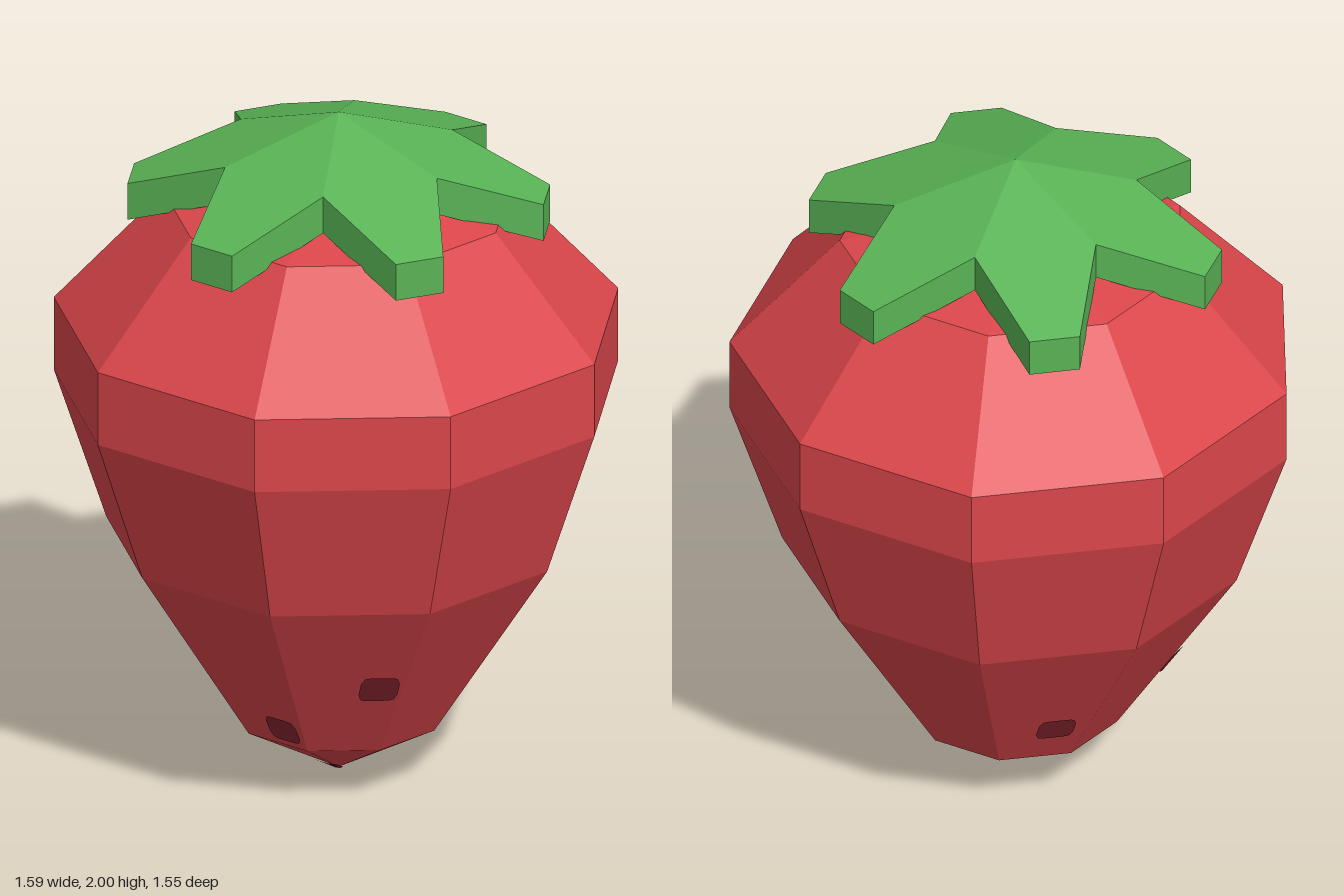
import * as THREE from 'three';

const CZ = 0.023;            // z of the fruit's axis
const SX = 1.012;            // the fruit is slightly wider than deep
const SIDES = 9;
const STEP = (Math.PI * 2) / SIDES;
// [radius, height] from tip to crown
const PROFILE = [[0, 0.005], [0.298, 0.175], [0.65, 0.73], [0.797, 1.17], [0.797, 1.39], [0.49, 1.73], [0, 1.84]];

const redSkin = new THREE.MeshStandardMaterial({ color: 0xdb464b });
redSkin.name = 'redSkin';
const leafGreen = new THREE.MeshStandardMaterial({ color: 0x59b355 });
leafGreen.name = 'leafGreen';
const seedMaroon = new THREE.MeshStandardMaterial({ color: 0x8a2631 });
seedMaroon.name = 'seedMaroon';

function mesh(name, geometry, material) {
  const m = new THREE.Mesh(geometry, material);
  m.name = name;
  return m;
}

// Flat-shaded geometry from a list of Vector3 triangles
function fromTriangles(points) {
  const g = new THREE.BufferGeometry().setFromPoints(points);
  g.computeVertexNormals();
  return g;
}

// Corner radius of the fruit at a height
function radiusAt(y) {
  for (let i = 1; i < PROFILE.length; i++) {
    const [r0, y0] = PROFILE[i - 1], [r1, y1] = PROFILE[i];
    if (y <= y1) return r0 + (r1 - r0) * Math.max(0, (y - y0) / (y1 - y0));
  }
  return 0;
}

// Point just above the faceted skin; angle 0 faces the front
function onSkin(angle, y) {
  const off = angle - Math.round(angle / STEP) * STEP;
  const r = radiusAt(y) * Math.cos(STEP / 2) / Math.cos(off) + 0.005;
  return new THREE.Vector3(SX * r * Math.sin(angle), y - 0.003, CZ + r * Math.cos(angle));
}

function fruitGeometry() {
  const pts = PROFILE.map(([r, y]) => new THREE.Vector2(r, y));
  const g = new THREE.LatheGeometry(pts, SIDES, STEP / 2).toNonIndexed();
  g.scale(SX, 1, 1);
  g.translate(0, 0, CZ);
  g.computeVertexNormals();
  return g;
}

// Rounded patch that follows the facets
function seedGeometry(degrees, y, halfW, halfH) {
  const centre = THREE.MathUtils.degToRad(degrees), N = 12, tris = [];
  const at = (i, side) => {
    const t = (i / N) * 2 - 1;
    const yy = y + side * halfH * (0.5 + 0.5 * Math.pow(1 - Math.pow(Math.abs(t), 6), 0.5));
    return onSkin(centre + Math.atan2(t * halfW, radiusAt(yy) * 0.95), yy);
  };
  for (let i = 0; i < N; i++) {
    const a = at(i, -1), b = at(i + 1, -1), c = at(i + 1, 1), d = at(i, 1);
    tris.push(a, b, c, a, c, d);
  }
  return fromTriangles(tris);
}

// Six-pointed sloping leaf crown with a constant thickness
function crownGeometry() {
  const T = 0.11, tris = [], rim = [];
  const place = (x, z, angle) => {
    const c = Math.cos(angle), s = Math.sin(angle);
    return new THREE.Vector3(x * c + z * s, 2 - 0.375 * z, 0.022 - x * s + z * c);
  };
  for (let k = 0; k < 6; k++) {
    const a = (k * Math.PI) / 3;
    rim.push(place(-0.1725, 0.2988, a), place(-0.072, 0.587, a), place(0.072, 0.587, a));
  }
  const low = (p) => p.clone().setY(p.y - T);
  const top = new THREE.Vector3(0, 2, 0.022);
  for (let k = 0; k < 6; k++) {
    const p = [0, 1, 2, 3].map((j) => rim[(k * 3 + j) % rim.length]);
    // Petal top and underside, with the centre joined to both notches
    for (const [a, b, c] of [[top, p[0], p[3]], [p[0], p[1], p[2]], [p[0], p[2], p[3]]]) {
      tris.push(a, b, c, low(a), low(c), low(b));
    }
    // Petal edge
    for (let j = 0; j < 3; j++) {
      const a = p[j], b = p[j + 1];
      tris.push(a, low(a), low(b), a, low(b), b);
    }
  }
  return fromTriangles(tris);
}

export function createModel() {
  const group = new THREE.Group();
  group.name = 'strawberry';
  group.add(mesh('fruit', fruitGeometry(), redSkin));
  group.add(mesh('leafCrown', crownGeometry(), leafGreen));

  // Seeds: angle in degrees, height, half width, half height
  const seeds = [
    [9, 0.245, 0.05, 0.043], [51.5, 0.43, 0.052, 0.046], [-57, 0.43, 0.052, 0.046],
    [115.5, 0.33, 0.052, 0.046], [-114, 0.33, 0.052, 0.046], [156, 0.43, 0.05, 0.046],
    [0, 0.034, 0.045, 0.024],
  ];
  seeds.forEach((s, i) => group.add(mesh('seed' + (i + 1), seedGeometry(...s), seedMaroon)));
  return group;
}
